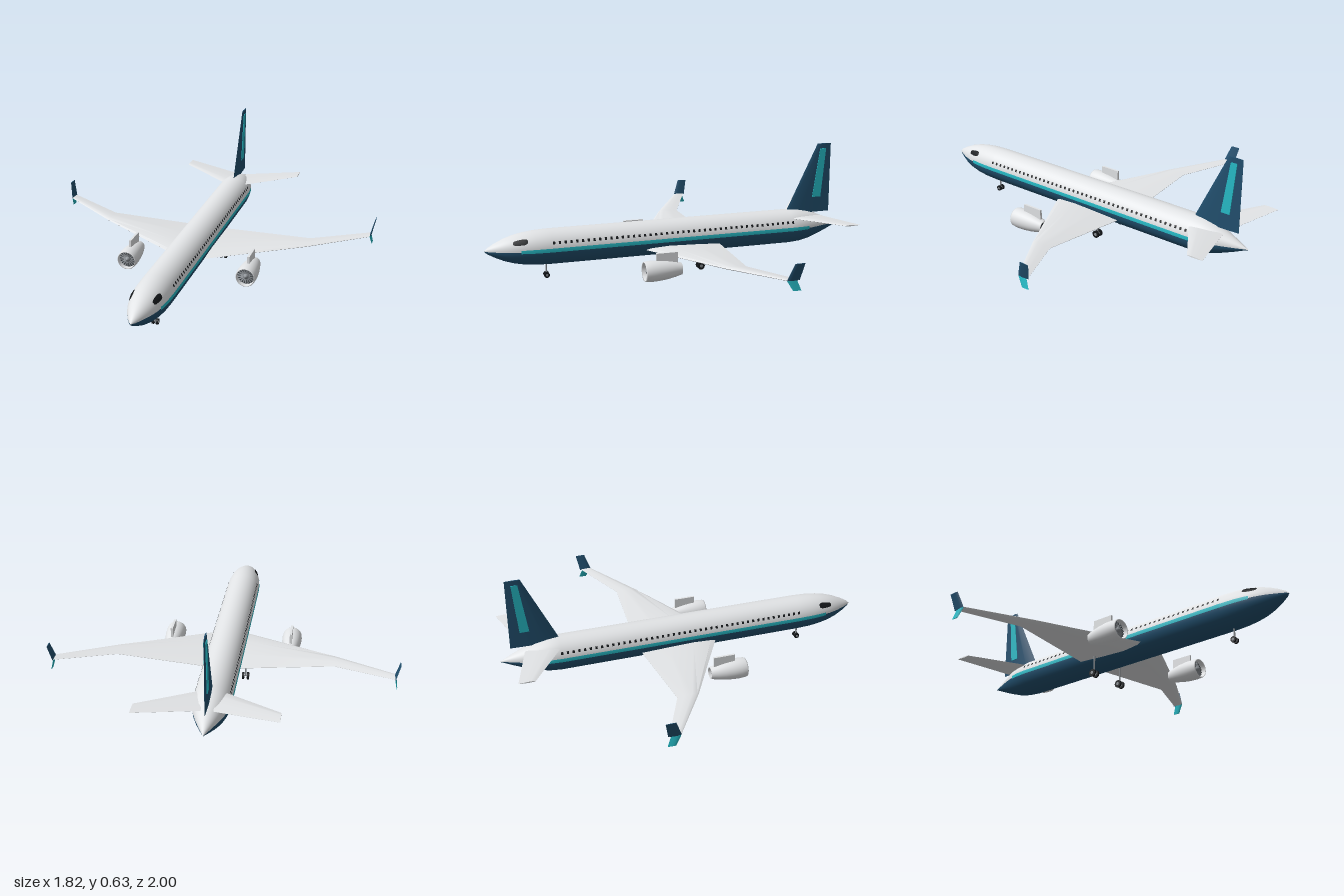
import * as THREE from 'three';
import { mergeGeometries, toCreasedNormals } from 'three/addons/utils/BufferGeometryUtils.js';

const mat = (name, color, side = THREE.FrontSide) => {
  const m = new THREE.MeshStandardMaterial({ color, side });
  m.name = name;
  return m;
};

// Skin through rows of points; closed rows also get end caps, s = -1 mirrors in x
function skin(rows, closed = false, s = 1) {
  const n = rows[0].length, pos = [], idx = [];
  const tri = (a, b, c) => (s > 0 ? idx.push(a, b, c) : idx.push(a, c, b));
  rows.forEach(r => r.forEach(p => pos.push(p[0] * s, p[1], p[2])));
  for (let i = 0; i < rows.length - 1; i++) {
    for (let j = 0; j < (closed ? n : n - 1); j++) {
      const k = (j + 1) % n, a = i * n, b = a + n;
      tri(a + j, b + j, a + k);
      tri(b + j, b + k, a + k);
    }
  }
  if (closed) {
    const e = (rows.length - 1) * n;
    for (let j = 1; j < n - 1; j++) {
      tri(0, j, j + 1);
      tri(e, e + j + 1, e + j);
    }
  }
  const g = new THREE.BufferGeometry();
  g.setAttribute('position', new THREE.Float32BufferAttribute(pos, 3));
  g.setIndex(idx);
  g.computeVertexNormals();
  return g;
}

// Aerofoil surface; sections are [x, y, zLead, zTrail, thickness], nx/ny the thickness direction
const FOIL = [[0, 0], [0.06, 0.28], [0.3, 0.5], [0.65, 0.32], [1, 0.04],
  [1, -0.04], [0.65, -0.32], [0.3, -0.5], [0.06, -0.28]];
function foil(sections, nx, ny, s = 1) {
  const rows = sections.map(([x, y, zl, zt, t]) =>
    FOIL.map(([c, h]) => [x + nx * h * t, y + ny * h * t, zl + (zt - zl) * c]));
  return toCreasedNormals(skin(rows, true, s), 0.6);
}

// Fuselage profile: [z, radius]
const AXIS_Y = 0.169;
const HULL = [[1, 0.001], [0.985, 0.015], [0.95, 0.035], [0.9, 0.058], [0.85, 0.074], [0.8, 0.084],
  [0.74, 0.091], [0.66, 0.094], [-0.69, 0.094], [-0.75, 0.089], [-0.81, 0.076], [-0.87, 0.055],
  [-0.93, 0.031], [-0.975, 0.011], [-1, 0.001]];
function radiusAt(z) {
  const i = Math.max(1, HULL.findIndex(p => p[0] <= z));
  const [z0, r0] = HULL[i - 1], [z1, r1] = HULL[i];
  return r0 + (r1 - r0) * (z - z0) / (z1 - z0);
}

// Patch of fuselage skin between two angles (0 = left side, PI/2 = top)
function patch(zs, a0, a1, steps, off = 0, spread = null) {
  const mid = (a0 + a1) / 2;
  return skin(zs.map((z, i) => {
    const half = (a1 - a0) / 2 * (spread ? spread[i] : 1);
    return Array.from({ length: steps + 1 }, (_, j) => {
      const a = mid - half + 2 * half * j / steps, r = radiusAt(z) + off;
      return [r * Math.cos(a), AXIS_Y + r * Math.sin(a), z];
    });
  }));
}

export function createModel() {
  const model = new THREE.Group();
  model.name = 'airliner';
  const white = mat('white', 0xe2e4e6);
  const navy = mat('navy', 0x22506f);
  const teal = mat('teal', 0x27bcc8);
  const black = mat('black', 0x15181b);
  const grey = mat('grey', 0x8b9095);
  const darkGrey = mat('dark grey', 0x3c4145);
  const add = (name, geo, material, parent = model) => {
    const m = new THREE.Mesh(geo, material);
    m.name = name;
    parent.add(m);
    return m;
  };
  const PI = Math.PI;

  // Fuselage halves and side stripes
  const zs = HULL.map(p => p[0]);
  add('upperFuselage', patch(zs, 0, PI, 32), white);
  add('lowerFuselage', patch(zs, PI, 2 * PI, 32), navy);
  const stripeZ = [0.82, ...zs.filter(z => z < 0.82 && z > -0.79), -0.79];
  add('sideStripes', mergeGeometries([
    patch(stripeZ, -0.08, 0.13, 3, 0.002),
    patch(stripeZ, PI - 0.13, PI + 0.08, 3, 0.002),
  ]), teal);

  // Cabin windows and cockpit windows
  const panes = [];
  for (let i = 0; i < 45; i++) {
    const z = 0.65 - i * 0.0304, w = [z + 0.006, z - 0.006];
    panes.push(patch(w, 0.36, 0.51, 2, 0.002), patch(w, PI - 0.51, PI - 0.36, 2, 0.002));
  }
  add('cabinWindows', mergeGeometries(panes), black);
  const cz = [0.857, 0.848, 0.825, 0.8, 0.788, 0.782], spread = [0.5, 0.85, 1, 1, 0.8, 0.4];
  add('cockpitWindows', mergeGeometries([
    patch(cz, 0.46, 0.84, 5, 0.003, spread),
    patch(cz, PI - 0.84, PI - 0.46, 5, 0.003, spread),
  ]), black);

  // Tail fin with a stripe on each face
  add('tailFin', foil([[0, 0.238, -0.673, -0.94, 0.012], [0, 0.627, -0.86, -0.94, 0.008]], -1, 0), navy);
  const finStripe = new THREE.Shape([[-0.835, 0.325], [-0.885, 0.325], [-0.91, 0.6], [-0.875, 0.6]]
    .map(([z, y]) => new THREE.Vector2(-z, y)));
  const stripeGeo = new THREE.ExtrudeGeometry(finStripe, { depth: 0.0136, bevelEnabled: false });
  stripeGeo.translate(0, 0, -0.0068).rotateY(PI / 2);
  add('finStripe', stripeGeo, teal);

  // Engine shapes, shared by both sides
  const lathe = (pts, n) => new THREE.LatheGeometry(
    pts.map(p => new THREE.Vector2(p[0], p[1])), n).rotateX(PI / 2);
  const nacelle = lathe([[0.031, 0.04], [0.04, 0.075], [0.048, 0.115], [0.053, 0.16], [0.0545, 0.2],
    [0.052, 0.232], [0.0495, 0.238], [0.047, 0.235], [0.046, 0.21], [0.04, 0.1], [0.028, 0.04],
    [0.031, 0.04]], 32);
  const fanDisc = new THREE.CylinderGeometry(0.046, 0.046, 0.004, 32).rotateX(PI / 2).translate(0, 0, 0.208);
  const blades = mergeGeometries(Array.from({ length: 18 }, (_, i) =>
    new THREE.BoxGeometry(0.0065, 0.034, 0.003).rotateY(0.4).translate(0, 0.028, 0.214).rotateZ(i * PI / 9)));
  const spinner = lathe([[0.016, 0.21], [0.014, 0.219], [0.008, 0.227], [0, 0.231]], 20);
  const exhaust = new THREE.CylinderGeometry(0.034, 0.034, 0.004, 24).rotateX(PI / 2).translate(0, 0, 0.075);

  // Pair of wheels with hubs on an axle and strut
  function gear(name, x, z, r, gap, top) {
    const g = new THREE.Group();
    g.name = name;
    g.position.set(x, r, z);
    model.add(g);
    for (const s of [-1, 1]) {
      add('wheel', new THREE.CylinderGeometry(r, r, 0.01, 20).rotateZ(PI / 2), black, g).position.x = s * gap;
      add('hub', new THREE.CylinderGeometry(r * 0.45, r * 0.45, 0.012, 12).rotateZ(PI / 2), grey, g)
        .position.x = s * gap;
    }
    add('axle', new THREE.CylinderGeometry(0.003, 0.003, gap * 2, 8).rotateZ(PI / 2), grey, g);
    add('strut', new THREE.CylinderGeometry(0.0045, 0.0045, top - r, 10), grey, g).position.y = (top - r) / 2;
  }
  gear('noseGear', 0, 0.68, 0.015, 0.011, 0.09);

  for (const s of [1, -1]) {
    const side = s > 0 ? 'left' : 'right';
    // Wing, winglets and tailplane
    add(side + 'Wing', foil([[0.03, 0.122, 0.188, -0.26, 0.03], [0.09, 0.126, 0.155, -0.256, 0.028],
      [0.575, 0.15, -0.108, -0.22, 0.017], [0.888, 0.169, -0.302, -0.362, 0.009]], 0, 1, s), white);
    add(side + 'UpperWinglet', foil([[0.886, 0.166, -0.3, -0.366, 0.009],
      [0.906, 0.254, -0.332, -0.384, 0.005]], -1, 0, s), navy);
    add(side + 'LowerWinglet', foil([[0.886, 0.168, -0.3, -0.352, 0.009],
      [0.895, 0.117, -0.33, -0.372, 0.005]], 1, 0, s), teal);
    add(side + 'Tailplane', foil([[0.03, 0.224, -0.668, -0.87, 0.013],
      [0.348, 0.243, -0.874, -0.96, 0.007]], 0, 1, s), white);

    // Engine and pylon
    const engine = new THREE.Group();
    engine.name = side + 'Engine';
    engine.position.set(0.33 * s, 0.089, 0);
    model.add(engine);
    add('nacelle', nacelle, white, engine);
    add('fanDisc', fanDisc, darkGrey, engine);
    add('fanBlades', blades, grey, engine);
    add('spinner', spinner, grey, engine);
    add('exhaust', exhaust, darkGrey, engine);
    add('pylon', new THREE.BoxGeometry(0.012, 0.055, 0.115), white, engine).position.set(0, 0.064, 0.117);

    gear(side + 'MainGear', 0.104 * s, -0.14, 0.02, 0.013, 0.125);
  }
  return model;
}
